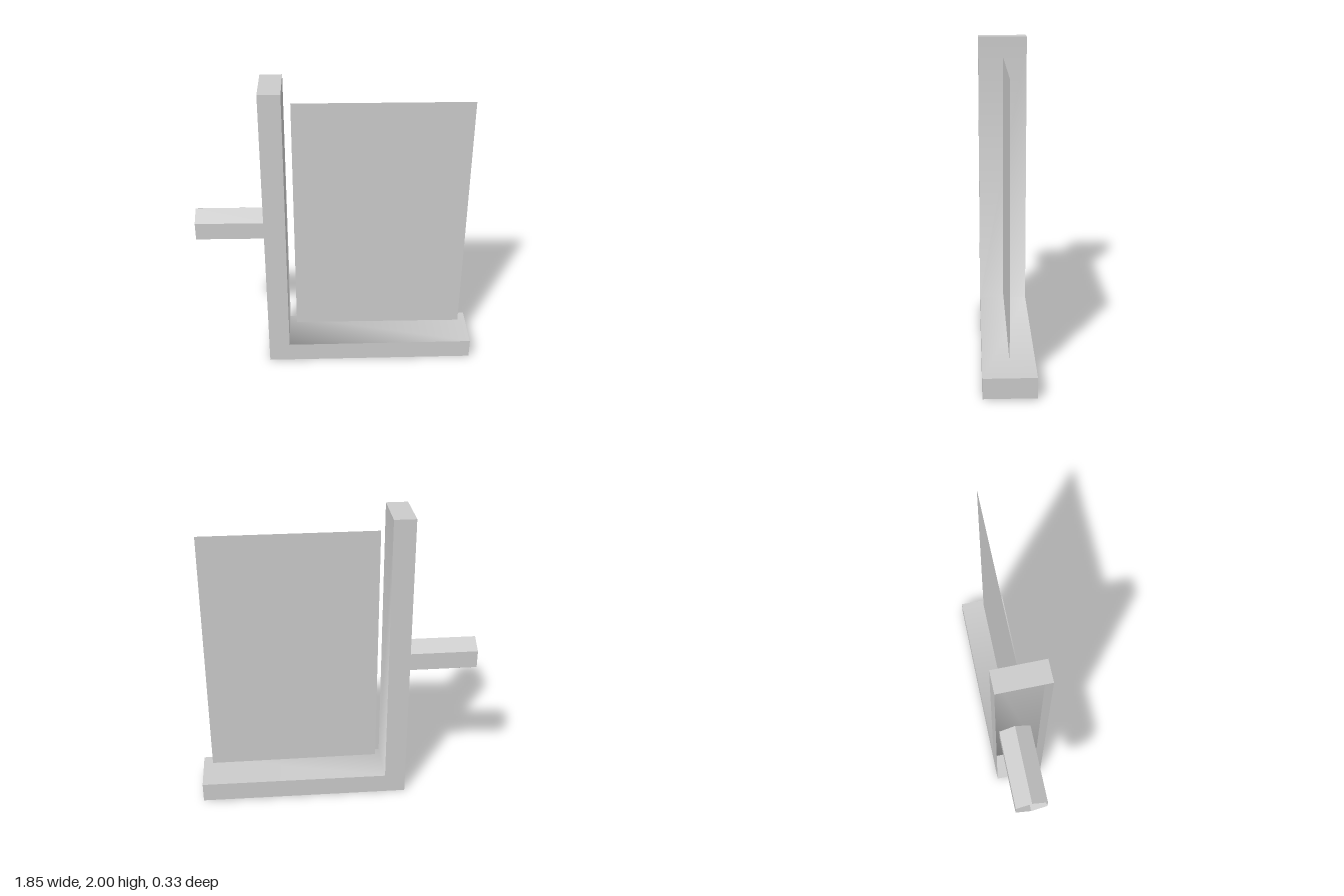
import * as THREE from 'three';

const material = new THREE.MeshStandardMaterial({ color: 0xcccccc, side: THREE.DoubleSide });

// L-shaped outline, counterclockwise; the edge from the last point to the first stays open
const outline = [
  [-0.475, 0], [0.925, 0.01], [0.925, 0.142],
  [-0.335, 0.133], [-0.335, 2], [-0.475, 2],
].map(([x, y]) => new THREE.Vector2(x, y));
const halfDepth = 0.163;

function addMesh(parent, name, geometry) {
  const mesh = new THREE.Mesh(geometry, material);
  mesh.name = name;
  parent.add(mesh);
  return mesh;
}

// Strip across the depth along a run of outline points, smooth inside the run
function strip(points) {
  const positions = [];
  const index = [];
  points.forEach((p, i) => {
    positions.push(p.x, p.y, halfDepth, p.x, p.y, -halfDepth);
    if (i > 0) {
      const a = 2 * (i - 1);
      index.push(a, a + 1, a + 3, a, a + 3, a + 2);
    }
  });
  const geometry = new THREE.BufferGeometry();
  geometry.setAttribute('position', new THREE.Float32BufferAttribute(positions, 3));
  geometry.setIndex(index);
  geometry.computeVertexNormals();
  return geometry;
}

export function createModel() {
  const model = new THREE.Group();
  model.name = 'panelStand';

  // Hollow L frame: front and back sheets joined by side strips
  const frame = new THREE.Group();
  frame.name = 'frame';
  model.add(frame);
  const front = new THREE.ShapeGeometry(new THREE.Shape(outline));
  addMesh(frame, 'frameFront', front).position.z = halfDepth;
  const back = front.clone().scale(-1, 1, 1).rotateY(Math.PI);
  // Mirroring reversed the winding, so turn the triangles round again
  const index = Array.from(back.index.array);
  for (let i = 0; i < index.length; i += 3) [index[i], index[i + 1]] = [index[i + 1], index[i]];
  back.setIndex(index);
  back.computeVertexNormals();
  addMesh(frame, 'frameBack', back).position.z = -halfDepth;

  const runs = { base: [0, 2], armEnd: [1, 3], innerCorner: [2, 5], postTop: [4, 6] };
  for (const [name, [from, to]] of Object.entries(runs)) {
    addMesh(frame, name, strip(outline.slice(from, to)));
  }

  // Thin flat panel standing free inside the corner
  addMesh(model, 'panel', new THREE.PlaneGeometry(1.14, 1.67)).position.set(0.285, 1.04, 0);

  // Open six-sided tube, one edge up, running into the hollow post
  const tube = new THREE.CylinderGeometry(0.1175, 0.1175, 0.505, 6, 1, true)
    .rotateZ(Math.PI / 2)
    .toNonIndexed();
  tube.rotateX(Math.atan2(tube.attributes.position.getZ(0), tube.attributes.position.getY(0)) * -1);
  tube.computeVertexNormals();
  addMesh(model, 'sideTube', tube).position.set(-0.6725, 1.0125, -0.03);

  return model;
}
